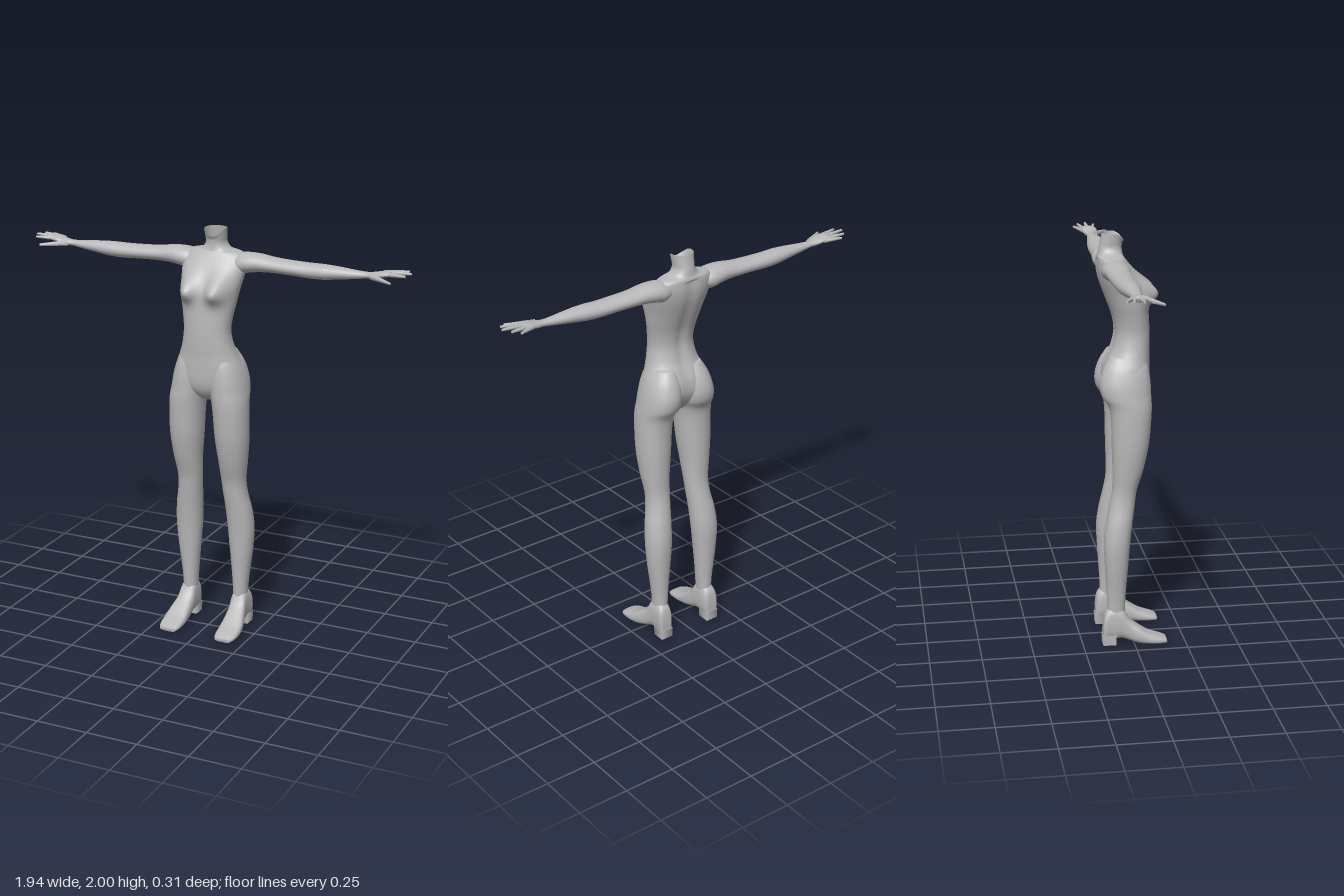
import * as THREE from 'three';

const skin = new THREE.MeshStandardMaterial({ color: 0xb8b8b8, side: THREE.DoubleSide });
skin.name = 'plain grey';

// Uniform Catmull-Rom through the section table
function section(rows, s) {
  const last = rows.length - 1;
  const i = Math.min(Math.floor(s), last - 1), t = s - i;
  const at = (k) => rows[Math.max(0, Math.min(last, k))];
  const [p0, p1, p2, p3] = [at(i - 1), at(i), at(i + 1), at(i + 2)];
  return p1.map((b, k) => {
    const m1 = (p2[k] - p0[k]) / 2, m2 = (p3[k] - b) / 2, d = p2[k] - b;
    return b + t * (m1 + t * (3 * d - 2 * m1 - m2 + t * (m1 + m2 - 2 * d)));
  });
}

// Smooth skin over rounded sections [position, aMin, aMax, bMin, bMax].
// axis y: a = x, b = z;  axis x: a = z, b = y;  axis z: a = y, b = x
function loft(axis, rows, { sides = 24, steps = 4, power = 2, caps = [true, true], shape } = {}) {
  const pos = [], idx = [], n = (rows.length - 1) * steps;
  const place = { y: (p, a, b) => [a, p, b], x: (p, a, b) => [p, b, a], z: (p, a, b) => [b, a, p] }[axis];
  const bend = (c) => Math.sign(c) * Math.abs(c) ** (2 / power);
  const add = (p, a, b, v) => {
    const q = new THREE.Vector3(...place(p, a, b));
    if (shape) shape(q, v);
    pos.push(q.x, q.y, q.z);
  };
  for (let r = 0; r <= n; r++) {
    const [p, a0, a1, b0, b1] = section(rows, r / steps);
    for (let j = 0; j < sides; j++) {
      const t = (j / sides) * Math.PI * 2;
      add(p, (a0 + a1) / 2 + bend(Math.cos(t)) * (a1 - a0) / 2,
        (b0 + b1) / 2 + bend(Math.sin(t)) * (b1 - b0) / 2, Math.sin(t));
    }
  }
  for (let r = 0; r < n; r++) {
    for (let j = 0; j < sides; j++) {
      const k = (j + 1) % sides, lo = r * sides, hi = lo + sides;
      idx.push(lo + j, hi + j, lo + k, lo + k, hi + j, hi + k);
    }
  }
  [0, n].forEach((r, e) => {
    if (!caps[e]) return;
    const [p, a0, a1, b0, b1] = rows[e ? rows.length - 1 : 0];
    const c = pos.length / 3;
    add(p, (a0 + a1) / 2, (b0 + b1) / 2, 0);
    for (let j = 0; j < sides; j++) {
      const u = r * sides + j, w = r * sides + (j + 1) % sides;
      idx.push(c, ...(e ? [w, u] : [u, w]));
    }
  });
  const g = new THREE.BufferGeometry();
  g.setAttribute('position', new THREE.Float32BufferAttribute(pos, 3));
  g.setIndex(idx);
  g.computeVertexNormals();
  return g;
}

function mirrored(geo) {
  const g = geo.clone().scale(-1, 1, 1), ix = g.index;
  for (let i = 0; i < ix.count; i += 3) {
    const b = ix.getX(i + 1);
    ix.setX(i + 1, ix.getX(i + 2));
    ix.setX(i + 2, b);
  }
  g.computeVertexNormals();
  return g;
}

// Tapered finger between two points
function finger(from, to, r0, r1) {
  const a = new THREE.Vector3(...from), b = new THREE.Vector3(...to), d = b.clone().sub(a);
  const g = new THREE.CylinderGeometry(r1, r0, d.length(), 8);
  g.applyQuaternion(new THREE.Quaternion().setFromUnitVectors(new THREE.Vector3(0, 1, 0), d.normalize()));
  const m = a.add(b).multiplyScalar(0.5);
  return g.translate(m.x, m.y, m.z);
}

export function createModel() {
  const model = new THREE.Group();
  model.name = 'mannequin';
  const add = (name, geo) => {
    const m = new THREE.Mesh(geo, skin);
    m.name = name;
    model.add(m);
  };
  const pair = (name, geo) => {
    add('left' + name, geo);
    add('right' + name, mirrored(geo));
  };

  // Torso and open neck: height, half width, back, front
  const torso = [
    [1.185, 0.025, -0.06, 0.02], [1.21, 0.07, -0.085, 0.055], [1.25, 0.135, -0.115, 0.08],
    [1.3, 0.168, -0.135, 0.09], [1.36, 0.163, -0.132, 0.092], [1.41, 0.143, -0.113, 0.092], [1.46, 0.126, -0.09, 0.094],
    [1.53, 0.115, -0.076, 0.094], [1.6, 0.122, -0.085, 0.09], [1.66, 0.133, -0.105, 0.085],
    [1.72, 0.142, -0.128, 0.075], [1.78, 0.153, -0.148, 0.048], [1.83, 0.16, -0.157, 0.015],
    [1.87, 0.155, -0.157, -0.015], [1.892, 0.13, -0.154, -0.03], [1.903, 0.075, -0.15, -0.034],
    [1.93, 0.05, -0.146, -0.037], [1.965, 0.05, -0.138, -0.034], [2, 0.053, -0.132, -0.027],
  ].map(([y, w, b, f]) => [y, -w, w, b, f]);
  add('torso', loft('y', torso, {
    sides: 48, power: 2.2, caps: [true, false],
    shape: (q, front) => {
      // bust
      const u = (Math.abs(q.x) - 0.073) / 0.046, v = (q.y - 1.725) / (q.y > 1.725 ? 0.068 : 0.05);
      q.z += 0.064 * Math.exp(-u * u - v * v) * Math.min(1, Math.max(0, front * 2));
      // hollow of the back along the spine
      if (front < 0 && q.y < 1.88) q.z += 0.01 * Math.exp(-((q.x / 0.025) ** 2));
      // neckline dips at the front
      if (front > 0) q.y -= 0.035 * front * front * Math.max(0, (q.y - 1.95) / 0.05);
    },
  }));

  // Legs: height, inner, outer, back, front
  pair('Leg', loft('y', [
    [0.1, 0.105, 0.17, -0.13, -0.045], [0.2, 0.1, 0.173, -0.13, -0.042], [0.3, 0.093, 0.184, -0.135, -0.036],
    [0.4, 0.084, 0.197, -0.141, -0.028], [0.52, 0.074, 0.205, -0.145, -0.018], [0.62, 0.068, 0.197, -0.132, -0.006],
    [0.7, 0.062, 0.182, -0.115, 0.006], [0.78, 0.056, 0.178, -0.101, 0.018], [0.88, 0.05, 0.19, -0.1, 0.048],
    [1, 0.038, 0.2, -0.103, 0.074], [1.12, 0.031, 0.2, -0.106, 0.086], [1.19, 0.022, 0.197, -0.117, 0.09],
    [1.24, 0.008, 0.191, -0.148, 0.089], [1.3, 0.004, 0.181, -0.156, 0.087], [1.37, 0.008, 0.16, -0.136, 0.078],
    [1.43, 0.02, 0.126, -0.1, 0.06],
  ], { power: 2.15 }));

  // Shoes: depth, sole, top, inner, outer
  pair('Shoe', loft('z', [
    [-0.152, 0.02, 0.1, 0.115, 0.17], [-0.142, 0.02, 0.16, 0.105, 0.178], [-0.11, 0.024, 0.19, 0.1, 0.178],
    [-0.06, 0.028, 0.185, 0.098, 0.18], [-0.025, 0.018, 0.13, 0.097, 0.187], [0.02, 0.004, 0.092, 0.095, 0.2],
    [0.075, 0, 0.055, 0.093, 0.207], [0.13, 0, 0.034, 0.097, 0.203], [0.158, 0, 0.022, 0.108, 0.19],
  ], { power: 2.7 }));
  const heel = new THREE.CylinderGeometry(0.047, 0.045, 0.05, 4, 1).rotateY(Math.PI / 4);
  pair('Heel', heel.translate(0.141, 0.025, -0.122));

  // Arms with palms: reach, back, front, bottom, top
  pair('Arm', loft('x', [
    [0.08, -0.13, -0.04, 1.82, 1.87], [0.13, -0.152, -0.025, 1.795, 1.893], [0.18, -0.154, -0.022, 1.803, 1.897],
    [0.23, -0.148, -0.028, 1.81, 1.895], [0.3, -0.144, -0.032, 1.813, 1.885], [0.4, -0.139, -0.032, 1.811, 1.88],
    [0.48, -0.134, -0.034, 1.807, 1.879], [0.55, -0.128, -0.034, 1.809, 1.88], [0.63, -0.118, -0.043, 1.819, 1.876],
    [0.7, -0.108, -0.053, 1.828, 1.87], [0.76, -0.102, -0.059, 1.837, 1.867], [0.8, -0.11, -0.047, 1.84, 1.872],
    [0.84, -0.12, -0.04, 1.85, 1.88], [0.875, -0.122, -0.046, 1.858, 1.881],
  ]));

  // Fingers and thumb
  [
    ['LittleFinger', [0.83, 1.864, -0.113], [0.912, 1.87, -0.149], 0.011],
    ['RingFinger', [0.86, 1.869, -0.107], [0.946, 1.876, -0.125], 0.011],
    ['MiddleFinger', [0.86, 1.871, -0.085], [0.969, 1.877, -0.084], 0.012],
    ['IndexFinger', [0.86, 1.869, -0.06], [0.953, 1.872, -0.043], 0.011],
    ['Thumb', [0.785, 1.853, -0.058], [0.902, 1.848, 0.014], 0.015],
  ].forEach(([name, from, to, r]) => pair(name, finger(from, to, r, 0.006)));

  return model;
}
